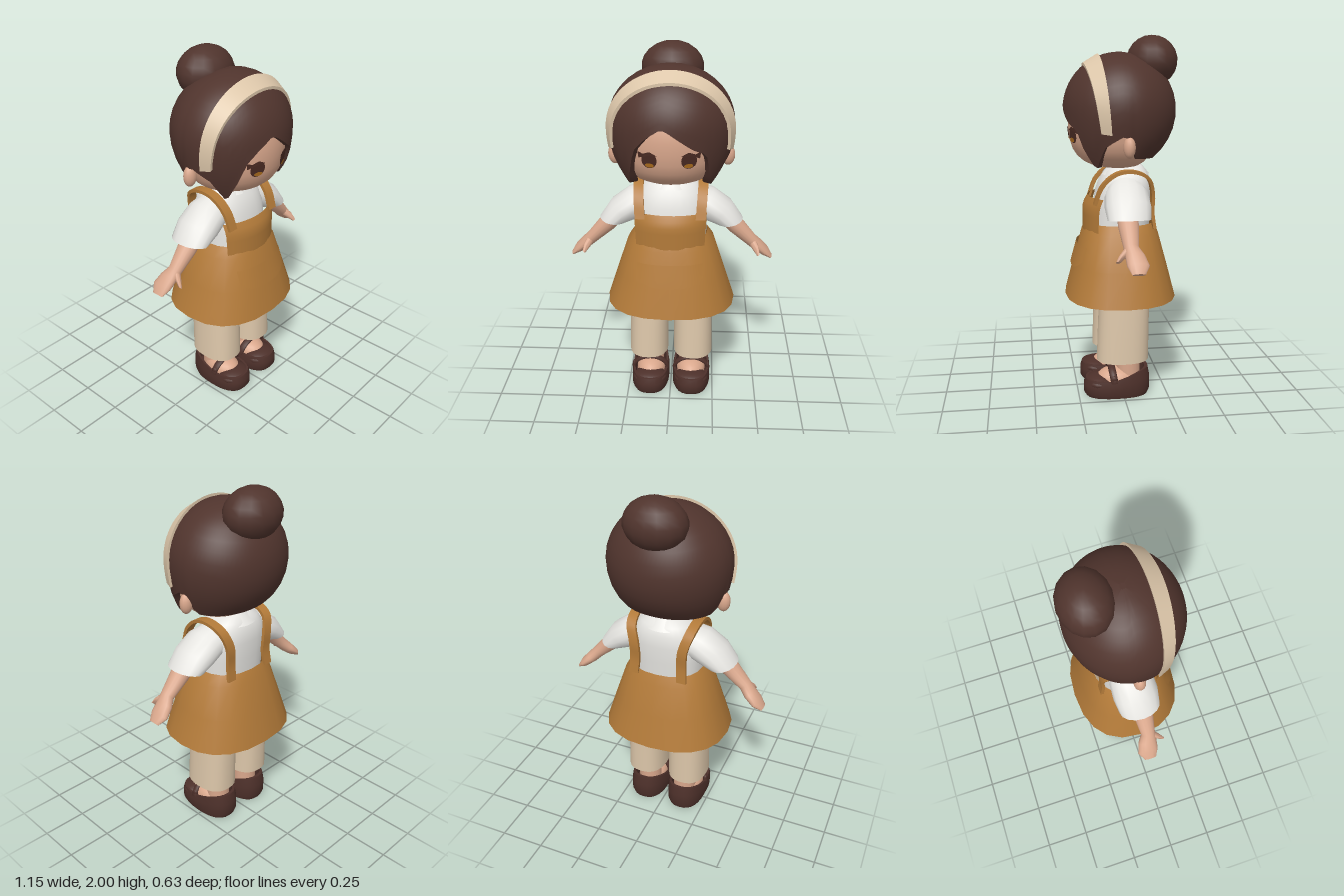
import * as THREE from 'three';
import { toCreasedNormals } from 'three/addons/utils/BufferGeometryUtils.js';

const mat = (name, color) => new THREE.MeshStandardMaterial({ name, color, side: THREE.DoubleSide });
const V = (x, y, z) => new THREE.Vector3(x, y, z);
const lerp = THREE.MathUtils.lerp;

// Linear interpolation in a table of rows sorted by their first number
function lookup(table, t) {
  let i = 0;
  while (i < table.length - 2 && t > table[i + 1][0]) i++;
  const a = table[i], b = table[i + 1];
  const k = THREE.MathUtils.clamp((t - a[0]) / (b[0] - a[0]), 0, 1);
  return a.map((v, j) => lerp(v, b[j], k));
}

// Skin through closed cross-sections, turned to face outward
function loft(rings, caps = true, crease = 0.9) {
  const n = rings[0].length, pts = rings.flat(), idx = [];
  for (let r = 0; r < rings.length - 1; r++)
    for (let i = 0; i < n; i++) {
      const a = r * n + i, b = r * n + (i + 1) % n;
      idx.push(a, b, b + n, a, b + n, a + n);
    }
  if (caps) for (const r of [0, rings.length - 1]) {
    const mid = rings[r].reduce((s, p) => s.add(p), V(0, 0, 0)).divideScalar(n);
    const m = pts.push(mid) - 1;
    for (let i = 0; i < n; i++) {
      const a = r * n + i, b = r * n + (i + 1) % n;
      if (r === 0) idx.push(m, b, a); else idx.push(m, a, b);
    }
  }
  const c = pts.reduce((s, p) => s.add(p), V(0, 0, 0)).divideScalar(pts.length);
  let vol = 0;
  for (let i = 0; i < idx.length; i += 3) {
    const [p, q, s] = [0, 1, 2].map(k => pts[idx[i + k]].clone().sub(c));
    vol += p.dot(q.cross(s));
  }
  if (vol < 0) idx.reverse();
  const g = new THREE.BufferGeometry().setFromPoints(pts);
  g.setIndex(idx);
  return toCreasedNormals(g, crease);
}

// Level oval ring; a power above 2 makes it squarer
function oval(cx, y, cz, rx, rz, power = 2, seg = 28) {
  const f = v => Math.sign(v) * Math.abs(v) ** (2 / power);
  return Array.from({ length: seg }, (_, i) => {
    const a = i / seg * Math.PI * 2;
    return V(cx + rx * f(Math.sin(a)), y, cz + rz * f(Math.cos(a)));
  });
}

// Limb ring: [x, y, z, radius along tilt, radius along z, tilt in degrees]
function limbRing(s, [x, y, z, ru, rz, tilt]) {
  const t = tilt * Math.PI / 180;
  return Array.from({ length: 16 }, (_, i) => {
    const a = i / 16 * Math.PI * 2, u = ru * Math.cos(a);
    return V(s * (x + u * Math.cos(t)), y + u * Math.sin(t), z + rz * Math.sin(a));
  });
}

// Curved front panel between two heights
function panel(half, low, high, depth, nx = 16, ny = 6) {
  const g = new THREE.PlaneGeometry(1, 1, nx, ny), p = g.attributes.position;
  for (let i = 0; i < p.count; i++) {
    const v = p.getY(i) + 0.5, x = p.getX(i) * 2 * half(v);
    const y = lerp(low(x), high, v);
    p.setXYZ(i, x, y, depth(x, y));
  }
  g.computeVertexNormals();
  return g;
}

// Head and hair surface rules
const HEAD_Y = 1.56, HAIR_Y = 1.6;
const headScale = y => y < HEAD_Y
  ? Math.cbrt(Math.max(0, 1 - ((HEAD_Y - y) / 0.275) ** 3))
  : Math.sqrt(Math.max(0, 1 - ((y - HEAD_Y) / 0.28) ** 2));
const faceZ = (x, y) => 0.282 * Math.sqrt(Math.max(0, headScale(y) ** 2 - (x / 0.29) ** 2));
const hairDrop = a => 0.418 + 0.1 * Math.cos(a);

// Lower hair edge: [angle from the front, height]
const hairSide = [[0.91, 1.29], [1.18, 1.42], [1.5, 1.475], [1.66, 1.46], [1.76, 1.355], [Math.PI, 1.34]];
const hairEdge = [
  ...hairSide.map(([a, y]) => [-a, y]).reverse(),
  [-0.69, 1.42], [-0.57, 1.52], [-0.36, 1.59], [-0.12, 1.642], [0, 1.62], [0.147, 1.585],
  [0.36, 1.535], [0.61, 1.5], [0.69, 1.42], ...hairSide,
];

// Skirt rows: [height, half width, half depth]
const skirtRows = [[0.565, 0.365, 0.31], [0.75, 0.305, 0.262], [0.93, 0.245, 0.213], [0.985, 0.205, 0.188]];

export function createModel() {
  const model = new THREE.Group();
  const skin = mat('skin', 0xd9a78c), hair = mat('dark brown hair', 0x50342d);
  const shoeBrown = mat('shoe brown', 0x4d302a), cream = mat('cream cloth', 0xddc7aa);
  const white = mat('white shirt', 0xe6e5e1), apronTan = mat('apron tan', 0xb27a39);
  const eyeDark = mat('eye brown', 0x4a2b23), amber = mat('amber', 0xb0701f);
  const add = (name, geo, material, pos, scale) => {
    const m = new THREE.Mesh(geo, material);
    m.name = name;
    if (pos) m.position.set(...pos);
    if (scale) m.scale.set(...scale);
    model.add(m);
    return m;
  };
  const ball = (w = 20, h = 14) => new THREE.SphereGeometry(1, w, h);

  // Head: rounded cheeks, flatter chin, shallow back
  const headRings = [1.288, 1.3, 1.32, 1.35, 1.39, 1.44, 1.5, 1.56, 1.64, 1.72, 1.78, 1.83].map(y => {
    const k = headScale(y);
    return oval(0, y, 0, 0.29 * k, 0.282 * k, 2, 40).map(p => (p.z < 0 && (p.z *= 0.7), p));
  });
  add('head', loft(headRings), skin);
  add('neck', new THREE.CylinderGeometry(0.074, 0.08, 0.16, 20), skin, [0, 1.27, -0.035]);

  // Hair shell with a parted fringe, side locks and a turned-in edge
  const cols = 80, hairRings = [];
  for (let r = -1; r <= 12; r++) {
    const ring = [];
    for (let i = 0; i < cols; i++) {
      const a = -Math.PI + i / cols * Math.PI * 2, yb = lookup(hairEdge, a)[1];
      const start = Math.asin((yb - HAIR_Y) / (yb < HAIR_Y ? hairDrop(a) : 0.31));
      const phi = lerp(start, Math.PI / 2 - 0.04, Math.max(r, 0) / 12);
      const k = Math.cos(phi) * (r < 0 ? 0.82 : 1);
      const y = HAIR_Y + Math.sin(phi) * (phi < 0 ? hairDrop(a) : 0.31);
      ring.push(V(0.34 * k * Math.sin(a), y, 0.31 * k * Math.cos(a)));
    }
    hairRings.push(ring);
  }
  const hairGeo = loft(hairRings.slice(0, 2), false);
  add('hairUnderside', hairGeo, hair);
  const shell = loft(hairRings.slice(1), false);
  add('hair', shell, hair);
  add('hairCrown', new THREE.CircleGeometry(0.016, 16).rotateX(-Math.PI / 2), hair, [0, 1.9097, 0]);
  add('hairBun', ball(16, 11), hair, [0, 1.863, -0.18], [0.17, 0.137, 0.14]);

  // Headband following the hair
  const band = [];
  for (let i = 0; i <= 36; i++) {
    const t = lerp(-1.91, 1.91, i / 36), s = Math.sin(t), c = Math.cos(t);
    const point = (z, lift) => {
      const ry = c > 0 ? 0.31 : 0.45;
      const rho = Math.sqrt((1 - (z / 0.31) ** 2) / ((s / 0.34) ** 2 + (c / ry) ** 2)) + lift;
      return V(rho * s, HAIR_Y + rho * c, z);
    };
    const zf = 0.15 + 0.05 * c, zb = 0.09 + 0.03 * c;
    band.push([point(zf, 0.015), point(zb, 0.015), point(zb, -0.01), point(zf, -0.01)]);
  }
  add('headband', loft(band), cream);

  // Torso, collar and hips
  add('shirtBody', loft([[0.9, 0.195, 0.16, 0], [1.05, 0.2, 0.16, -0.01], [1.15, 0.2, 0.155, -0.02],
    [1.22, 0.18, 0.14, -0.03], [1.265, 0.145, 0.115, -0.035], [1.3, 0.085, 0.085, -0.035]]
    .map(([y, rx, rz, z]) => oval(0, y, z, rx, rz, 2.4))), white);
  add('collar', new THREE.CylinderGeometry(0.084, 0.135, 0.06, 24, 1, true, 0.14, Math.PI * 2 - 0.28),
    white, [0, 1.277, -0.033]);
  add('trouserHips', loft([[0.515, 0.2, 0.1], [0.56, 0.232, 0.14], [0.75, 0.22, 0.15], [0.95, 0.185, 0.15]]
    .map(([y, rx, rz]) => oval(0, y, -0.01, rx, rz, 2.4))), cream);

  // Apron: flared skirt, bib and pocket
  add('apronSkirt', loft(skirtRows.map(([y, rx, rz]) => oval(0, y, 0, rx, rz, 2.4, 20)), false), apronTan);
  const skirtZ = (x, y) => {
    const [, rx, rz] = lookup(skirtRows, y);
    return rz * Math.max(0, 1 - (Math.abs(x) / rx) ** 2.4) ** (1 / 2.4);
  };
  const bibZ = (x, y) => (y > 1.08 ? 0.207 - (y - 1.08) * 0.6 : 0.207) * Math.sqrt(1 - (x / 0.255) ** 2);
  add('apronBib', panel(v => lerp(0.188, 0.198, v), () => 0.93, 1.13, bibZ), apronTan);
  add('apronPocket', panel(() => 0.183, x => 0.74 + 0.05 * (x / 0.183) ** 4, 0.865,
    (x, y) => skirtZ(x, y) + 0.012), apronTan);

  // Paired parts
  for (const [s, side] of [[1, 'left'], [-1, 'right']]) {
    const name = part => side + part;

    add(name('Ear'), ball(14, 10), skin, [s * 0.308, 1.42, -0.012], [0.038, 0.058, 0.032]);

    // Eye plates laid on the face
    const plate = (part, pts, material, lift) => {
      const g = new THREE.ShapeGeometry(new THREE.Shape(pts.map(([x, y]) => new THREE.Vector2(s * x, y))));
      const p = g.attributes.position;
      for (let i = 0; i < p.count; i++) p.setZ(i, faceZ(p.getX(i), p.getY(i)) + lift);
      g.computeVertexNormals();
      add(name(part), g, material);
    };
    const disc = (x, y, rx, ry) => Array.from({ length: 18 }, (_, i) => {
      const a = i / 18 * Math.PI * 2;
      return [x + rx * Math.cos(a), y + ry * Math.sin(a)];
    });
    plate('Eye', disc(0.102, 1.471, 0.04, 0.043), eyeDark, 0.007);
    plate('EyeGlow', disc(0.1, 1.445, 0.023, 0.012), amber, 0.011);
    plate('Eyelash', [[0.06, 1.497], [0.1, 1.517], [0.135, 1.504], [0.162, 1.514], [0.157, 1.478],
      [0.137, 1.488], [0.1, 1.497]], eyeDark, 0.008);

    // Sleeve, arm with hand, thumb
    add(name('Sleeve'), loft([[0.1, 1.17, -0.02, 0.09, 0.095, 82], [0.19, 1.145, -0.015, 0.092, 0.12, 60],
      [0.262, 1.1, -0.012, 0.09, 0.125, 35], [0.325, 1.043, -0.01, 0.077, 0.115, 8]]
      .map(r => limbRing(s, r)), false), white);
    add(name('Arm'), loft([[0.27, 1.11, 0, 0.05, 0.055, 45], [0.36, 1.015, 0, 0.05, 0.055, 45],
      [0.45, 0.925, 0, 0.036, 0.04, 45], [0.485, 0.89, -0.015, 0.034, 0.052, 45],
      [0.53, 0.85, -0.025, 0.027, 0.058, 45], [0.568, 0.815, -0.022, 0.01, 0.034, 45]]
      .map(r => limbRing(s, r))), skin);
    add(name('Thumb'), loft([[0.455, 0.92, 0.012, 0.024, 0.026, 45], [0.478, 0.89, 0.045, 0.02, 0.022, 45],
      [0.492, 0.862, 0.072, 0.01, 0.012, 45]].map(r => limbRing(s, r))), skin);

    // Apron strap over the shoulder
    const path = new THREE.CatmullRomCurve3([[0.165, 1.1, 0.155], [0.172, 1.2, 0.115], [0.177, 1.265, 0.04],
      [0.178, 1.278, -0.05], [0.168, 1.24, -0.135], [0.142, 1.15, -0.165], [0.137, 1.05, -0.163],
      [0.142, 0.96, -0.175]].map(([x, y, z]) => V(s * x, y, z)));
    const strap = [];
    for (let i = 0; i <= 24; i++) {
      const p = path.getPoint(i / 24), n = V(1, 0, 0).cross(path.getTangent(i / 24)).normalize();
      strap.push([[-1, -1], [1, -1], [1, 1], [-1, 1]].map(([u, v]) =>
        V(p.x + u * 0.027, p.y, p.z).addScaledVector(n, v * 0.009)));
    }
    add(name('ApronStrap'), loft(strap), apronTan);

    // Trouser leg
    add(name('TrouserLeg'), loft([[0.21, 0.131, 0.114, 0.145, 0], [0.4, 0.129, 0.112, 0.143, -0.005],
      [0.6, 0.122, 0.112, 0.14, -0.012]].map(([y, x, rx, rz, z]) => oval(s * x, y, z, rx, rz, 2.4)), false), cream);

    // Ankle and instep
    add(name('Ankle'), new THREE.CylinderGeometry(0.068, 0.068, 0.24, 18), skin, [s * 0.115, 0.2, -0.035]);
    add(name('Instep'), ball(), skin, [s * 0.12, 0.085, 0.03], [0.085, 0.07, 0.12]);

    // Shoe with raised heel, toe cap, strap and buckle
    const rim = z => 0.1 + 0.06 * THREE.MathUtils.smoothstep(-z, -0.08, 0.15);
    const shoeRing = (k, f) => oval(s * 0.122, 0, 0.032, 0.111 * k, 0.188 * k, 2.5)
      .map(p => p.setY(f * rim(p.z)));
    add(name('Shoe'), loft([[0.93, 0], [1, 0.2], [1, 0.65], [0.94, 1], [0.84, 1], [0.8, 0.5]]
      .map(([k, f]) => shoeRing(k, f))), shoeBrown);
    add(name('ShoeToe'), ball(), shoeBrown, [s * 0.122, 0.075, 0.13], [0.1, 0.042, 0.082]);
    const shoeStrap = add(name('ShoeStrap'), new THREE.TorusGeometry(0.1, 0.012, 8, 20, Math.PI),
      shoeBrown, [s * 0.122, 0.092, 0.055], [1, 0.78, 1.7]);
    shoeStrap.rotation.x = 0.15;
    add(name('ShoeBuckle'), ball(10, 8), shoeBrown, [s * 0.218, 0.115, 0.058], [0.014, 0.02, 0.02]);
  }
  return model;
}
